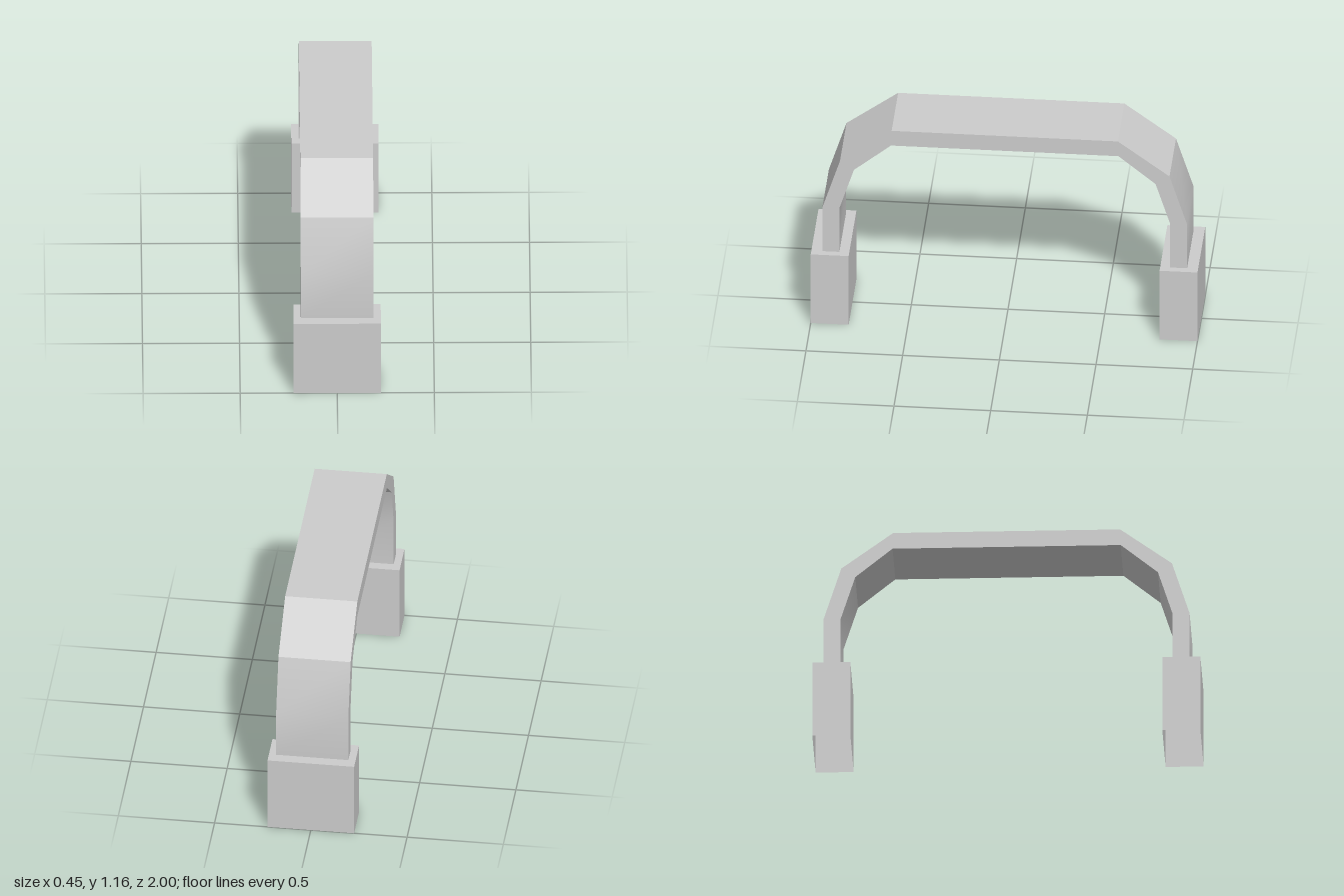
import * as THREE from 'three';
import { toCreasedNormals } from 'three/addons/utils/BufferGeometryUtils.js';

const material = new THREE.MeshStandardMaterial({ color: 0xcccccc, side: THREE.DoubleSide });

// Half profiles of the arch as [z, y], from the foot up to the top bar
const OUTER = [[0.943, 0.415], [0.943, 0.68], [0.852, 0.965], [0.585, 1.162]];
const INNER = [[0.855, 0.415], [0.855, 0.68], [0.78, 0.915], [0.588, 1.073]];
const ARCH_WIDTH = 0.375;

// Mirrors a half profile into a full run from +z to -z
const fullRun = (half) => [...half, ...half.map(([z, y]) => [-z, y]).reverse()];

function createArch() {
  const outline = [...fullRun(OUTER), ...fullRun(INNER).reverse()];
  const shape = new THREE.Shape(outline.map(([z, y]) => new THREE.Vector2(z, y)));
  const geometry = new THREE.ExtrudeGeometry(shape, { depth: ARCH_WIDTH, bevelEnabled: false });
  geometry.translate(0, 0, -ARCH_WIDTH / 2);
  geometry.rotateY(-Math.PI / 2);
  // Soften only the gentle bend low on each leg
  const arch = new THREE.Mesh(toCreasedNormals(geometry, THREE.MathUtils.degToRad(28)), material);
  arch.name = 'arch';
  return arch;
}

// Hollow foot, open at the bottom
function createFoot(name, z) {
  const geometry = new THREE.BoxGeometry(0.45, 0.415, 0.196);
  const index = Array.from(geometry.index.array);
  index.splice(18, 6); // drop the underside
  geometry.setIndex(index);
  geometry.clearGroups();
  const foot = new THREE.Mesh(geometry, material);
  foot.name = name;
  foot.position.set(0, 0.2075, z);
  return foot;
}

export function createModel() {
  const model = new THREE.Group();
  model.name = 'archHandle';
  model.add(createArch(), createFoot('frontFoot', 0.902), createFoot('backFoot', -0.902));
  return model;
}
